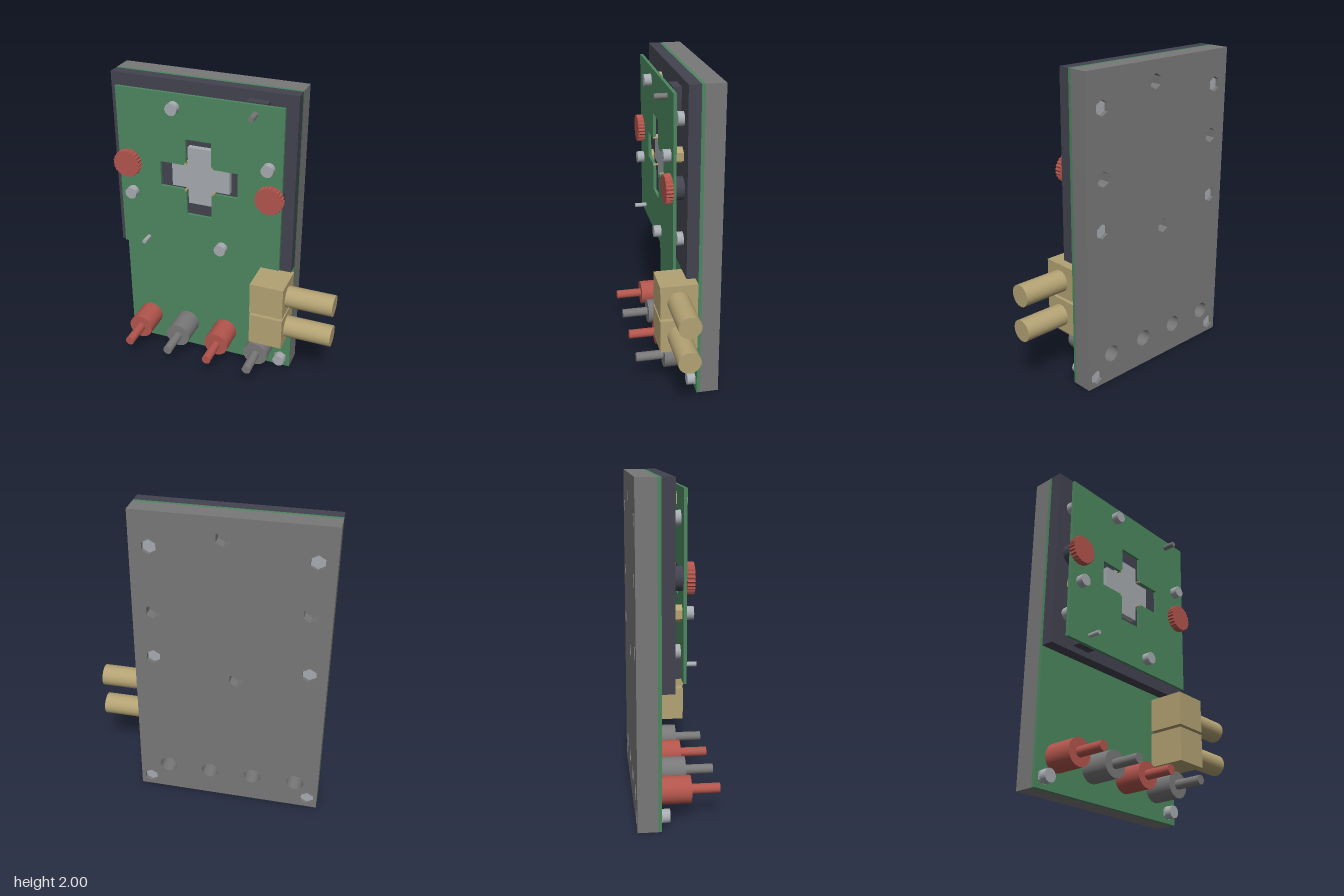
import * as THREE from 'three';
import { toCreasedNormals } from 'three/addons/utils/BufferGeometryUtils.js';

const mat = (name, color) => {
  const m = new THREE.MeshStandardMaterial({ color });
  m.name = name;
  return m;
};

export function createModel() {
  const grey = mat('grey', 0x787878), green = mat('board green', 0x4c875f);
  const dark = mat('dark plastic', 0x434350), gold = mat('brass', 0xb3a273);
  const red = mat('red', 0xb2554c), silver = mat('steel', 0xa6abb0);
  const root = new THREE.Group();
  root.name = 'circuitModule';

  const add = (name, geo, m) => {
    const mesh = new THREE.Mesh(geo, m);
    mesh.name = name;
    root.add(mesh);
    return mesh;
  };
  // Box given by its limits
  const box = (name, m, x0, x1, y0, y1, z0, z1) =>
    add(name, new THREE.BoxGeometry(x1 - x0, y1 - y0, z1 - z0), m)
      .position.set((x0 + x1) / 2, (y0 + y1) / 2, (z0 + z1) / 2);
  // Cylinder or prism running along z
  const post = (name, m, x, y, r, z0, z1, sides = 32) => {
    const geo = new THREE.CylinderGeometry(r, r, z1 - z0, sides).rotateX(Math.PI / 2);
    add(name, sides < 10 ? toCreasedNormals(geo, 0.5) : geo, m).position.set(x, y, (z0 + z1) / 2);
  };
  // Shape extruded from z0 to z1
  const slab = (name, m, shape, z0, z1) => {
    const geo = new THREE.ExtrudeGeometry(shape, { depth: z1 - z0, bevelEnabled: false, curveSegments: 16 });
    return add(name, toCreasedNormals(geo, 0.6).translate(0, 0, z0), m);
  };
  const rect = (x0, x1, y0, y1) => new THREE.Shape([[x0, y0], [x1, y0], [x1, y1], [x0, y1]]
    .map(([x, y]) => new THREE.Vector2(x, y)));
  const ring = (x, y, n, r1, r2 = r1) => Array.from({ length: n }, (_, i) => {
    const a = (i + 0.5) * 2 * Math.PI / n, r = i % 2 ? r2 : r1;
    return new THREE.Vector2(x + r * Math.cos(a), y + r * Math.sin(a));
  });
  // Cross outline with rounded notches at its inner corners
  const cross = (Shape, cx, cy, w, l, notch) => {
    const s = new Shape();
    for (let k = 0; k < 4; k++) {
      const a = k * Math.PI / 2, c = Math.round(Math.cos(a)), d = Math.round(Math.sin(a));
      const at = (x, y) => [cx + x * c - y * d, cy + x * d + y * c];
      if (k) s.lineTo(...at(l, -w)); else s.moveTo(...at(l, -w));
      s.lineTo(...at(l, w));
      if (notch) s.absarc(...at(w, w), notch, a, a + Math.PI / 2, false);
      else s.lineTo(...at(w, w));
    }
    s.closePath();
    return s;
  };

  const jackX = [-0.6, -0.317, -0.035, 0.248], jackY = 0.19;
  const knobs = [[-0.625, 1.45], [0.31, 1.36]];
  const blockBolts = [[0.32, 1.78], [-0.64, 1.78], [0.32, 1.04], [-0.64, 1.04]];
  const cornerBolts = [[-0.685, 0.068], [0.373, 0.068]];
  const deepHoles = [...knobs, [-0.11, 1.87], [-0.2, 0.94]];

  // Back plate with hexagonal pockets and round clearance holes
  const plate = rect(-0.75, 0.44, 0, 2);
  for (const [x, y] of [...blockBolts, ...cornerBolts, ...deepHoles])
    plate.holes.push(new THREE.Path(ring(x, y, 6, 0.048)));
  for (const x of jackX) plate.holes.push(new THREE.Path(ring(x, jackY, 32, 0.055)));
  slab('backPlate', grey, plate, -0.248, -0.128);
  for (const [x, y] of [...blockBolts, ...cornerBolts]) post('nut', silver, x, y, 0.047, -0.225, -0.13, 6);
  for (const [x, y] of deepHoles) post('pocketFloor', grey, x, y, 0.05, -0.18, -0.13, 6);

  // Main board and dark carrier block
  box('mainBoard', green, -0.75, 0.44, 0, 2, -0.128, -0.107);
  box('carrierBlock', dark, -0.75, 0.44, 0.825, 2, -0.107, -0.033);

  // Upper board with cross opening
  const cx = -0.155, cy = 1.405;
  const board = rect(-0.69, 0.38, 0.865, 1.94);
  board.holes.push(cross(THREE.Path, cx, cy, 0.083, 0.255, 0.016));
  slab('upperBoard', green, board, 0.018, 0.037);
  slab('crossBlock', silver, cross(THREE.Shape, cx, cy, 0.083, 0.19, 0), -0.033, 0.005);
  for (const sx of [-1, 1]) for (const sy of [-1, 1])
    post('contactPin', gold, cx + sx * 0.09, cy + sy * 0.09, 0.007, -0.033, 0.035, 12);

  // Screws holding the upper board on brass spacers
  for (const [x, y] of [[-0.308, 1.855], [0.295, 1.558], [-0.605, 1.25], [-0.003, 0.952]]) {
    post('spacer', gold, x, y, 0.05, -0.033, 0.018, 6);
    post('boardScrew', silver, x, y, 0.038, 0.037, 0.083);
  }
  for (const [x, y] of blockBolts) post('blockBolt', silver, x, y, 0.042, -0.033, 0.005);

  // Connectors under the upper board and their pins
  box('upperConnector', dark, 0.14, 0.27, 1.81, 1.948, -0.033, 0.018);
  box('lowerConnector', dark, -0.58, -0.45, 0.862, 1.0, -0.033, 0.018);
  post('upperPin', grey, 0.202, 1.882, 0.018, 0.037, 0.115, 16);
  post('lowerPin', silver, -0.514, 0.928, 0.014, 0.037, 0.115, 16);

  // Knurled red knobs
  for (const [x, y] of knobs) {
    post('knobShaft', dark, x, y, 0.07, -0.033, 0.018);
    slab('knob', red, new THREE.Shape(ring(x, y, 48, 0.09, 0.083)), 0.037, 0.08);
  }

  // Plug terminals along the lower edge
  jackX.forEach((x, i) => {
    const m = i % 2 ? grey : red;
    post('terminalBody', m, x, jackY, 0.083, -0.107, 0.075);
    post('terminalPin', m, x, jackY, 0.03, 0.075, 0.25, 24);
  });
  for (const [x, y] of cornerBolts) {
    post('cornerWasher', silver, x, y, 0.045, -0.107, -0.099, 6);
    post('cornerBolt', silver, x, y, 0.04, -0.107, -0.055);
  }

  // Brass side connectors
  for (const y of [0.33, 0.565]) {
    box('coaxBody', gold, 0.22, 0.44, y, y + 0.217, -0.107, 0.127);
    add('coaxBarrel', new THREE.CylinderGeometry(0.07, 0.07, 0.306, 40).rotateZ(Math.PI / 2), gold)
      .position.set(0.593, y + 0.107, 0.012);
  }
  return root;
}
